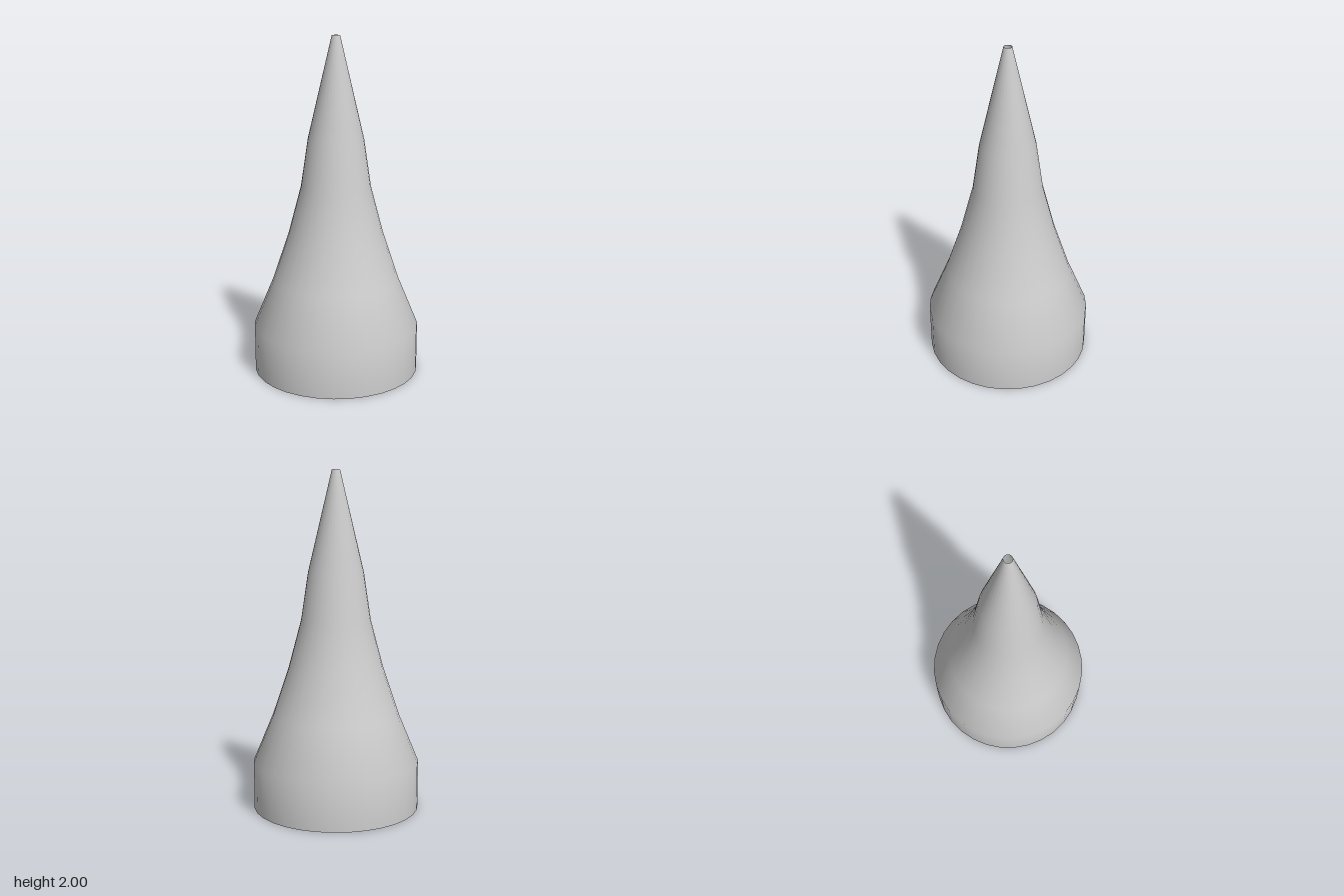
import * as THREE from 'three';

export function createModel() {
  const model = new THREE.Group();
  model.name = 'taperedNozzle';

  // Thin shell: straight collar, concave flare, then a straight tip open at both ends
  const profile = [
    [0.494, 0], [0.494, 0.28], [0.376, 0.563], [0.281, 0.845],
    [0.206, 1.127], [0.164, 1.408], [0.024, 2],
  ].map(([r, y]) => new THREE.Vector2(r, y));

  const shell = new THREE.Mesh(
    new THREE.LatheGeometry(profile, 32),
    new THREE.MeshStandardMaterial({ color: 0xcccccc, side: THREE.DoubleSide })
  );
  shell.name = 'nozzleShell';
  model.add(shell);
  return model;
}
